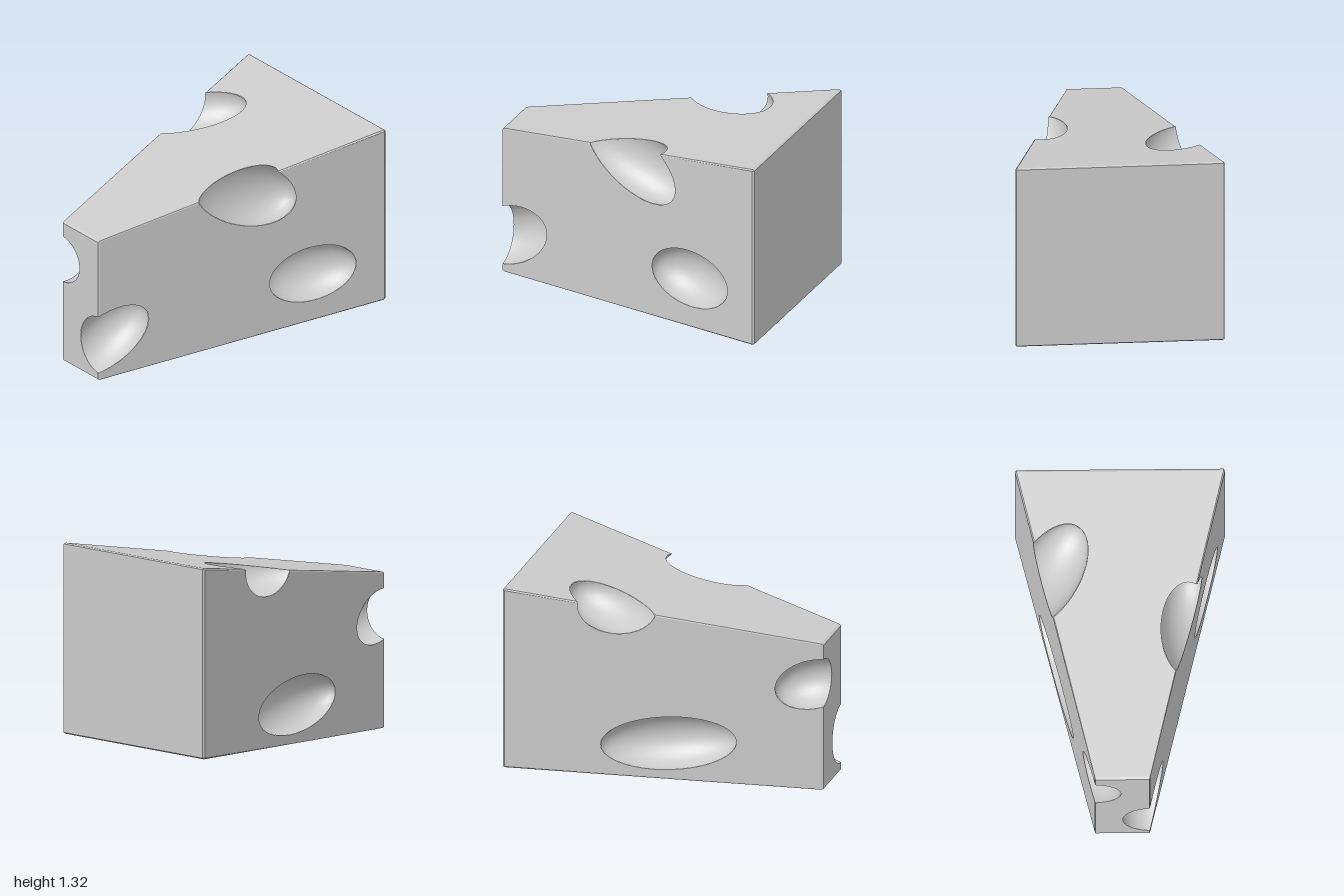
import * as THREE from 'three';
import { ConvexGeometry } from 'three/addons/geometries/ConvexGeometry.js';

// Wedge profile along x: floor, roof and half width
const floorY = (x) => 0.044 + 0.04 * x;
const roofY = (x) => 1.17 + 0.155 * x;
const halfZ = (x) => 0.425 + 0.25 * x;

// Inward distance to each of the six wedge planes
const wedgePlanes = [
  (p) => 1 - p.x,
  (p) => 1 + p.x,
  (p) => roofY(p.x) - p.y,
  (p) => p.y - floorY(p.x),
  (p) => halfZ(p.x) - p.z,
  (p) => halfZ(p.x) + p.z,
];

// Ellipsoid holes: centre, radii, lean of y and z along x
const holes = [
  { name: 'frontLowerHole', c: [0.49, 0.405, 0.547], r: [0.3, 0.195, 0.19], lean: [0, 0.25] },
  { name: 'frontTopHole', c: [0.02, 1.107, 0.43], r: [0.405, 0.235, 0.18], lean: [-0.33, 0] },
  { name: 'frontTipHole', c: [-0.95, 0.275, 0.19], r: [0.325, 0.207, 0.19], lean: [0.3, 0] },
  { name: 'backTopHole', c: [0.31, 1.225, -0.47], r: [0.35, 0.185, 0.225], lean: [0, 0.39] },
  { name: 'backTipHole', c: [-0.94, 0.735, -0.19], r: [0.255, 0.17, 0.185], lean: [-0.17, 0] },
  { name: 'backLowerHole', c: [-0.035, 0.292, -0.416], r: [0.423, 0.183, 0.19], lean: [-0.055, -0.25] },
];
for (const h of holes) {
  const [a, b, d] = h.r, [s, t] = h.lean;
  h.matrix = new THREE.Matrix4().set(
    a, 0, 0, h.c[0],
    s * a, b, 0, h.c[1],
    t * a, 0, d, h.c[2],
    0, 0, 0, 1);
  h.inverse = h.matrix.clone().invert();
  h.normalMatrix = new THREE.Matrix3().getNormalMatrix(h.matrix);
  h.outside = (p) => p.clone().applyMatrix4(h.inverse).length() - 1;
}

// Point on segment a-b where fn changes sign
function crossing(a, b, fn) {
  let lo = 0, hi = 1;
  const sign = fn(a) >= 0;
  for (let i = 0; i < 24; i++) {
    const mid = (lo + hi) / 2;
    if ((fn(a.clone().lerp(b, mid)) >= 0) === sign) lo = mid;
    else hi = mid;
  }
  return a.clone().lerp(b, lo);
}

// Keep the part of each triangle where fn >= 0
function clip(triangles, fn) {
  const out = [];
  for (const tri of triangles) {
    const keep = tri.map((p) => fn(p) >= 0);
    if (keep.every(Boolean)) { out.push(tri); continue; }
    const poly = [];
    for (let i = 0; i < 3; i++) {
      const j = (i + 1) % 3;
      if (keep[i]) poly.push(tri[i]);
      if (keep[i] !== keep[j]) poly.push(crossing(tri[i], tri[j], fn));
    }
    for (let i = 2; i < poly.length; i++) out.push([poly[0], poly[i - 1], poly[i]]);
  }
  return out;
}

// Halve the longest edge until all are short
function subdivide(tri, limit, out) {
  const len = tri.map((p, i) => p.distanceTo(tri[(i + 1) % 3]));
  const i = len.indexOf(Math.max(...len));
  if (len[i] <= limit) { out.push(tri); return; }
  const a = tri[i], b = tri[(i + 1) % 3], c = tri[(i + 2) % 3];
  const m = a.clone().add(b).multiplyScalar(0.5);
  subdivide([a, m, c], limit, out);
  subdivide([m, b, c], limit, out);
}

function toTriangles(geometry) {
  const g = geometry.index ? geometry.toNonIndexed() : geometry;
  const pos = g.attributes.position, out = [];
  for (let i = 0; i < pos.count; i += 3) {
    out.push([0, 1, 2].map((k) => new THREE.Vector3().fromBufferAttribute(pos, i + k)));
  }
  return out;
}

const toGeometry = (triangles) => new THREE.BufferGeometry().setFromPoints(triangles.flat());

// Wedge with narrow bevels, carved by every hole
function wedgeGeometry() {
  const e = 0.986, points = [];
  for (const i of [-1, 1]) for (const j of [-1, 1]) for (const k of [-1, 1]) {
    for (const [u, v, w] of [[1, e, e], [e, 1, e], [e, e, 1]]) {
      const x = i * u;
      const y = THREE.MathUtils.lerp(floorY(x), roofY(x), (1 + j * v) / 2);
      points.push(new THREE.Vector3(x, y, k * w * halfZ(x)));
    }
  }
  let triangles = [];
  for (const tri of toTriangles(new ConvexGeometry(points))) subdivide(tri, 0.06, triangles);
  for (const h of holes) triangles = clip(triangles, h.outside);
  const g = toGeometry(triangles);
  g.computeVertexNormals();
  return g;
}

// Hollow: inward-facing ellipsoid trimmed to the wedge, with smooth normals
function hollowGeometry(h) {
  const sphere = new THREE.SphereGeometry(1, 28, 18).applyMatrix4(h.matrix);
  let triangles = toTriangles(sphere).map(([a, b, c]) => [a, c, b]);
  for (const plane of wedgePlanes) triangles = clip(triangles, plane);
  const g = toGeometry(triangles);
  const normals = triangles.flat().flatMap((p) => p.clone().applyMatrix4(h.inverse)
    .applyMatrix3(h.normalMatrix).normalize().negate().toArray());
  g.setAttribute('normal', new THREE.Float32BufferAttribute(normals, 3));
  return g;
}

export function createModel() {
  const group = new THREE.Group();
  group.name = 'cheeseWedge';
  const material = new THREE.MeshStandardMaterial({ color: 0xcccccc });
  const add = (name, geometry) => {
    const mesh = new THREE.Mesh(geometry, material);
    mesh.name = name;
    group.add(mesh);
  };
  add('wedgeBody', wedgeGeometry());
  for (const h of holes) add(h.name, hollowGeometry(h));
  return group;
}
